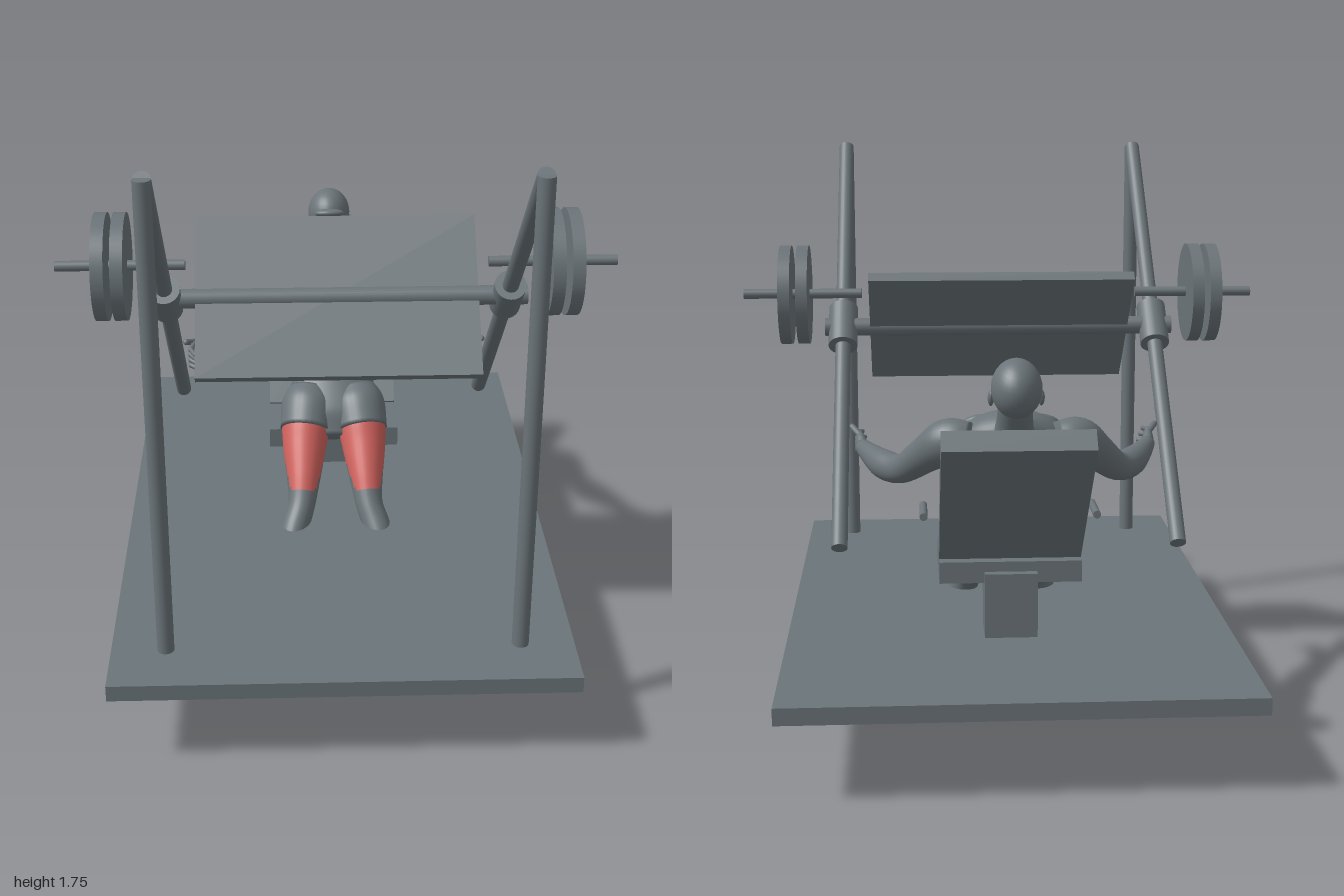
import * as THREE from 'three';

const steel = new THREE.MeshStandardMaterial({ color: 0x6b7479 });
steel.name = 'slate grey';
const muscle = new THREE.MeshStandardMaterial({ color: 0xcf625d });
muscle.name = 'muscle red';

const V = (x, y, z) => new THREE.Vector3(x, y, z);

function add(parent, name, geo, pos = [0, 0, 0], rotX = 0, mat = steel) {
  const m = new THREE.Mesh(geo, mat);
  m.name = name;
  m.position.set(...pos);
  m.rotation.x = rotX;
  parent.add(m);
  return m;
}

const box = (g, name, size, pos, rotX) => add(g, name, new THREE.BoxGeometry(...size), pos, rotX);

// Straight bar between two points; capsule ends when round is set
function rod(g, name, a, b, r, round = false) {
  const A = V(...a), B = V(...b), len = A.distanceTo(B);
  const geo = round ? new THREE.CapsuleGeometry(r, len, 5, 10) : new THREE.CylinderGeometry(r, r, len, 24);
  const m = add(g, name, geo, A.clone().add(B).multiplyScalar(0.5).toArray());
  m.quaternion.setFromUnitVectors(V(0, 1, 0), B.sub(A).normalize());
  return m;
}

// Stretched sphere for rounded body forms
function blob(g, name, pos, scale, rotX = 0) {
  const m = add(g, name, new THREE.SphereGeometry(1, 28, 18), pos, rotX);
  m.scale.set(...scale);
  return m;
}

// Smooth limb through sections [x, y, z, halfWidth, halfDepth]; paint(k, front) picks the red faces
function loft(g, name, secs, ref = V(1, 0, 0), paint = () => false) {
  const N = 28, per = 7, rings = (secs.length - 1) * per;
  const path = new THREE.CatmullRomCurve3(secs.map(s => V(s[0], s[1], s[2])), false, 'catmullrom');
  const size = new THREE.CatmullRomCurve3(secs.map(s => V(s[3], s[4], 0)), false, 'catmullrom');
  const pos = [], plain = [], red = [];
  for (let i = 0; i <= rings; i++) {
    const c = path.getPoint(i / rings), r = size.getPoint(i / rings), t = path.getTangent(i / rings);
    const u = ref.clone().addScaledVector(t, -ref.dot(t)).normalize();
    const v = t.clone().cross(u);
    for (let j = 0; j < N; j++) {
      const a = j / N * Math.PI * 2;
      const p = c.clone().addScaledVector(u, Math.cos(a) * r.x).addScaledVector(v, Math.sin(a) * r.y);
      pos.push(p.x, p.y, p.z);
    }
  }
  for (let i = 0; i < rings; i++) {
    for (let j = 0; j < N; j++) {
      const k = (j + 1) % N, a = i * N + j, b = i * N + k;
      const front = Math.sin((j + 0.5) / N * Math.PI * 2);
      (paint((i + 0.5) / per, front) ? red : plain).push(a, b, a + N, b, b + N, a + N);
    }
  }
  // End caps
  const first = path.getPoint(0), last = path.getPoint(1), c0 = pos.length / 3;
  pos.push(...first.toArray(), ...last.toArray());
  for (let j = 0; j < N; j++) {
    const k = (j + 1) % N, e = rings * N;
    plain.push(c0, k, j, c0 + 1, e + j, e + k);
  }
  const geo = new THREE.BufferGeometry();
  geo.setAttribute('position', new THREE.Float32BufferAttribute(pos, 3));
  geo.setIndex([...plain, ...red]);
  geo.addGroup(0, plain.length, 0);
  if (red.length) geo.addGroup(plain.length, red.length, 1);
  geo.computeVertexNormals();
  return add(g, name, geo, [0, 0, 0], 0, [steel, muscle]);
}

function buildMachine() {
  const g = new THREE.Group();
  g.name = 'legPressMachine';
  const tilt = Math.PI / 4, cy = 1.163, cz = 0.237;
  box(g, 'basePlatform', [1.36, 0.05, 2], [0, 0.275, 0]);
  box(g, 'seatPedestal', [0.16, 0.2, 0.16], [0, 0.4, -0.37]);
  box(g, 'seat', [0.434, 0.066, 0.315], [0, 0.498, -0.263]);
  box(g, 'backrest', [0.434, 0.66, 0.07], [0, 0.748, -0.549], -tilt);
  // Sliding foot plate carriage
  box(g, 'footPlate', [0.86, 0.525, 0.034], [0, cy, cz], -tilt);
  rod(g, 'carriageTube', [-0.58, cy, cz], [0.58, cy, cz], 0.03);
  for (const s of [-1, 1]) {
    rod(g, 'upright', [s * 0.52, 0.3, 0.825], [s * 0.52, 1.745, 0.825], 0.025);
    rod(g, 'guideRail', [s * 0.52, 1.742, 0.816], [s * 0.52, 0.565, -0.36], 0.025);
    rod(g, 'railSleeve', [s * 0.52, cy + 0.055, cz + 0.055], [s * 0.52, cy - 0.055, cz - 0.055], 0.048);
    rod(g, 'weightBar', [s * 0.457, 1.275, 0.24], [s * 0.847, 1.275, 0.24], 0.016);
    for (const x of [0.648, 0.705])
      rod(g, 'weightDisc', [s * (x - 0.019), 1.272, 0.24], [s * (x + 0.019), 1.272, 0.24], 0.163).geometry =
        new THREE.CylinderGeometry(0.163, 0.163, 0.038, 48);
    rod(g, 'seatHandle', [s * 0.263, 0.67, -0.405], [s * 0.263, 0.67, -0.25], 0.012);
  }
  return g;
}

function buildHead() {
  const h = new THREE.Group();
  h.name = 'head';
  h.position.set(0, 1.095, -0.645);
  h.rotation.x = -0.35;
  blob(h, 'skull', [0, 0.02, -0.017], [0.073, 0.084, 0.092]);
  blob(h, 'face', [0, -0.033, 0.035], [0.056, 0.07, 0.066]);
  blob(h, 'brow', [0, 0.014, 0.066], [0.052, 0.016, 0.032]);
  blob(h, 'nose', [0, -0.022, 0.1], [0.011, 0.024, 0.019], -0.3);
  blob(h, 'lips', [0, -0.058, 0.09], [0.022, 0.01, 0.012]);
  blob(h, 'chin', [0, -0.085, 0.073], [0.025, 0.017, 0.02]);
  for (const s of [-1, 1]) {
    blob(h, 'ear', [s * 0.072, -0.015, -0.01], [0.009, 0.026, 0.017], -0.2);
    blob(h, 'eye', [s * 0.024, -0.003, 0.085], [0.012, 0.008, 0.01]);
    blob(h, 'cheek', [s * 0.034, -0.03, 0.07], [0.02, 0.018, 0.02]);
  }
  return h;
}

function buildPerson() {
  const g = new THREE.Group();
  g.name = 'person';
  // Torso leaning back 45 degrees: [distance down, distance forward, halfWidth, halfDepth]
  const lean = (s, n) => [(n - s) * 0.707, (n + s) * 0.707];
  loft(g, 'torso', [
    [-1.10, 0.285, 0.05, 0.04], [-1.04, 0.295, 0.135, 0.085], [-0.95, 0.31, 0.185, 0.115],
    [-0.85, 0.315, 0.165, 0.095], [-0.70, 0.317, 0.135, 0.072], [-0.60, 0.30, 0.143, 0.084],
    [-0.50, 0.285, 0.165, 0.094], [-0.42, 0.28, 0.10, 0.065],
  ].map(([s, n, w, d]) => [0, ...lean(s, n), w, d]));
  loft(g, 'neck', [[0, 0.93, -0.545, 0.075, 0.065], [0, 0.985, -0.58, 0.055, 0.055], [0, 1.07, -0.635, 0.05, 0.055]]);
  g.add(buildHead());

  for (const s of [-1, 1]) {
    const mir = rows => rows.map(([x, ...r]) => [s * x, ...r]);
    const at = (x, y, z) => [s * x, y, z];
    blob(g, 'chestMuscle', at(0.077, ...lean(-0.915, 0.4)), [0.083, 0.07, 0.032], -Math.PI / 4);
    for (let i = 0; i < 3; i++)
      blob(g, 'abdominal', at(0.035, ...lean(-0.79 + i * 0.065, 0.383 - i * 0.004)), [0.033, 0.032, 0.012], -Math.PI / 4);

    // Arm from shoulder to wrist
    loft(g, 'arm', mir([
      [0.12, 0.935, -0.535, 0.05, 0.05], [0.19, 0.925, -0.515, 0.068, 0.068], [0.255, 0.875, -0.455, 0.055, 0.056],
      [0.325, 0.815, -0.375, 0.044, 0.044], [0.38, 0.81, -0.295, 0.046, 0.044], [0.425, 0.825, -0.21, 0.034, 0.032],
      [0.452, 0.835, -0.14, 0.023, 0.024],
    ]), V(0, 1, 0));
    loft(g, 'palm', mir([
      [0.449, 0.833, -0.15, 0.022, 0.02], [0.458, 0.838, -0.11, 0.035, 0.018], [0.46, 0.838, -0.075, 0.034, 0.013],
    ]), V(0, 1, 0));
    for (let i = 0; i < 4; i++) {
      const y = 0.866 - i * 0.018, tip = 0.862 - i * 0.019;
      rod(g, 'finger', at(0.46, y, -0.08), at(0.47, tip, -0.045), 0.009, true);
      rod(g, 'fingertip', at(0.47, tip, -0.045), at(0.455 - i * 0.007, tip - 0.004, -0.015), 0.008, true);
    }
    rod(g, 'thumb', at(0.458, 0.862, -0.105), at(0.485, 0.882, -0.06), 0.01, true);

    // Leg with the highlighted front of the thigh
    loft(g, 'leg', mir([
      [0.085, 0.62, -0.19, 0.06, 0.06], [0.092, 0.565, -0.13, 0.082, 0.088], [0.10, 0.49, -0.06, 0.073, 0.08],
      [0.105, 0.41, 0.02, 0.056, 0.063], [0.113, 0.345, 0.08, 0.045, 0.05], [0.14, 0.27, 0.135, 0.046, 0.054],
      [0.16, 0.18, 0.22, 0.035, 0.042], [0.175, 0.11, 0.29, 0.027, 0.033], [0.178, 0.05, 0.325, 0.026, 0.03],
    ]), V(1, 0, 0), (k, front) => k > 1 && k < 3.6 && front > 0.05 + Math.max(0, k - 2.4) * 0.45);
    loft(g, 'shortsLeg', mir([
      [0.075, 0.635, -0.20, 0.07, 0.07], [0.085, 0.595, -0.16, 0.09, 0.094], [0.095, 0.53, -0.096, 0.086, 0.092],
    ]));
    loft(g, 'foot', mir([
      [0.177, 0.022, 0.312, 0.014, 0.014], [0.178, 0.042, 0.328, 0.028, 0.036], [0.181, 0.088, 0.376, 0.034, 0.036],
      [0.185, 0.122, 0.425, 0.043, 0.023], [0.187, 0.142, 0.462, 0.043, 0.014],
    ]));
    for (let i = 0; i < 5; i++) {
      const x = 0.155 + i * 0.0165, r = i ? 0.008 : 0.012;
      rod(g, 'toe', at(x, 0.143, 0.455), at(x, 0.156 - i * 0.003, 0.484 - i * 0.005), r, true);
    }
  }
  return g;
}

export function createModel() {
  const model = new THREE.Group();
  model.name = 'legPressWithPerson';
  model.add(buildMachine(), buildPerson());
  return model;
}
